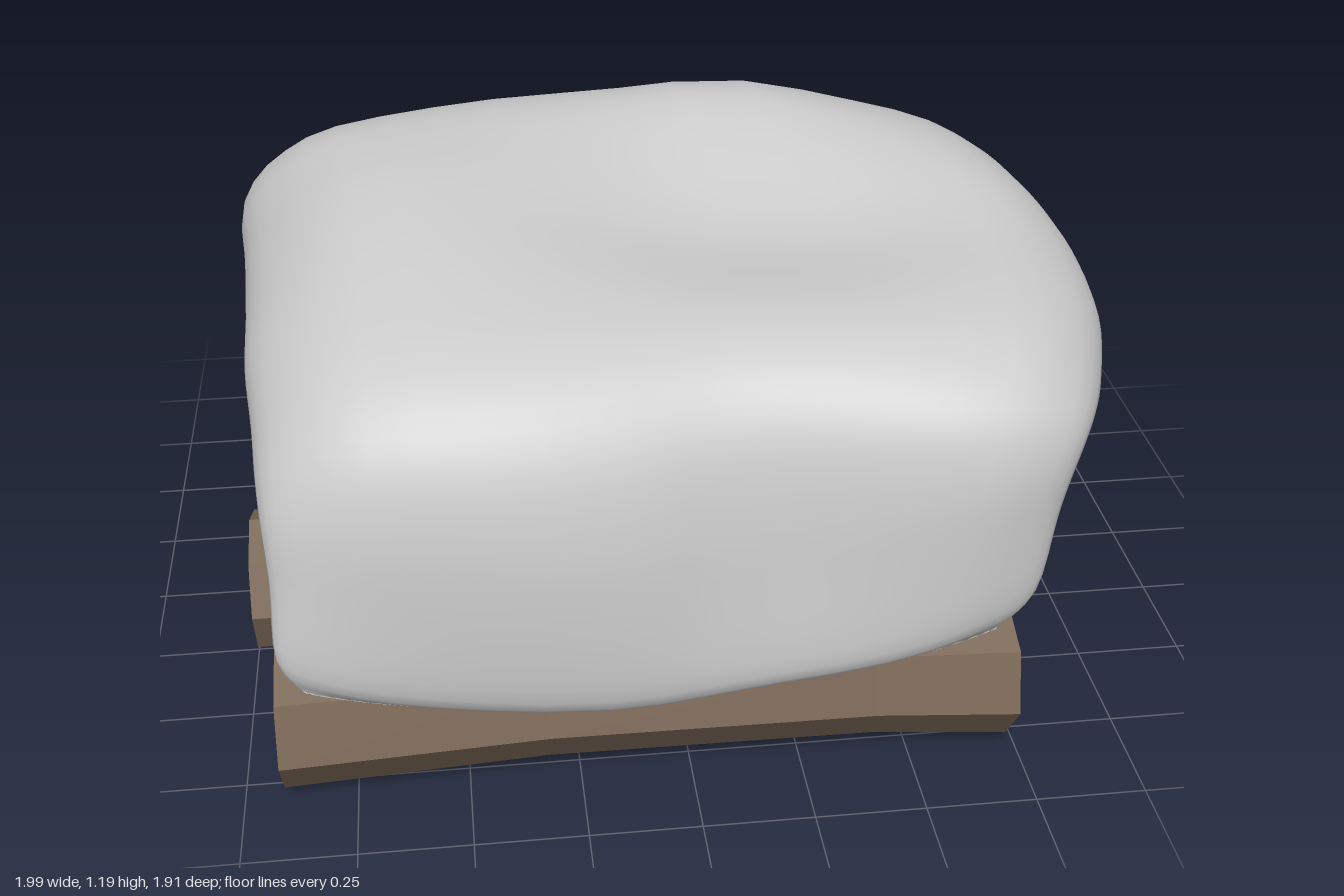
import * as THREE from 'three';

const bark = new THREE.MeshStandardMaterial({ color: 0x7a6756, flatShading: true });
const wood = new THREE.MeshStandardMaterial({ color: 0xa88856, flatShading: true });
const snow = new THREE.MeshStandardMaterial({ color: 0xcccccc });

let seed = 7;
const rnd = () => (seed = (seed * 16807) % 2147483647) / 2147483647;

function meshFrom(positions, index, material, name) {
  const g = new THREE.BufferGeometry();
  g.setAttribute('position', new THREE.Float32BufferAttribute(positions, 3));
  g.setIndex(index);
  g.computeVertexNormals();
  const m = new THREE.Mesh(g, material);
  m.name = name;
  return m;
}

// A faceted log along x, with a narrow split cut into its +x end.
function makeLog([z, y, r, x0, x1, notchDeg]) {
  const n = 7 + Math.floor(rnd() * 2), step = 2 * Math.PI / n;
  const notch = THREE.MathUtils.degToRad(notchDeg);
  const polygonRadius = (a) => {
    const k = (((a - notch) % step) + step) % step;
    return Math.cos(step / 2) / Math.cos(k - step / 2);
  };
  const angles = [notch, notch + 0.22];
  for (let i = 1; i < n; i++) angles.push(notch + i * step);
  angles.push(notch + 2 * Math.PI - 0.22);
  const count = angles.length;
  const bendY = (rnd() - 0.5) * 0.03, bendZ = (rnd() - 0.5) * 0.03;
  const rings = [[x0, 1, 0], [x0 * 0.35, 0.92, 1], [x1 - 0.32, 0.93, 0.8], [x1, 1, 0]];
  const pos = [], barkIdx = [], woodIdx = [];
  rings.forEach(([x, s, bend], ri) => angles.forEach((a, i) => {
    const cut = ri === 3 && i === 0 ? 0.68 : 1;
    const rad = r * s * cut * polygonRadius(a);
    pos.push(x, y + bend * bendY + Math.sin(a) * rad, z + bend * bendZ + Math.cos(a) * rad);
  }));
  pos.push(x0, y, z, x1 - 0.008, y, z);
  const c0 = 4 * count, c1 = c0 + 1;
  for (let i = 0; i < count; i++) {
    const j = (i + 1) % count;
    for (let k = 0; k < 3; k++) {
      const a = k * count + i, b = k * count + j, c = b + count, d = a + count;
      const split = k === 2 && (i === 0 || j === 0);
      (split ? woodIdx : barkIdx).push(a, d, c, a, c, b);
    }
    woodIdx.push(c0, i, j, c1, 3 * count + j, 3 * count + i);
  }
  const log = new THREE.Group();
  log.name = 'log';
  log.add(meshFrom(pos, barkIdx, bark, 'bark'), meshFrom(pos, woodIdx, wood, 'cutWood'));
  return log;
}

// Smooth interpolation through rows of equal length.
function sampleRows(rows, t) {
  const f = t * (rows.length - 1), i = Math.min(Math.floor(f), rows.length - 2), w = f - i;
  const at = (k) => rows[Math.max(0, Math.min(rows.length - 1, k))];
  return rows[0].map((_, c) => {
    const [a, b, d, e] = [at(i - 1)[c], at(i)[c], at(i + 1)[c], at(i + 2)[c]];
    return b + 0.5 * w * (d - a + w * (2 * a - 5 * b + 4 * d - e + w * (3 * (b - d) + e - a)));
  });
}

const bump = (x, z, cx, cz, sx, sz) =>
  Math.exp(-(((x - cx) / sx) ** 2) - ((z - cz) / sz) ** 2);
const ramp = THREE.MathUtils.smoothstep;

// Snow mass draped from the front, over the top, to the back, and filling the pile's core.
function makeSnow() {
  // outer z, outer y, inner z, inner y, x min, x max
  const drape = [
    [0.895, 0.258, 0.87, 0.265, -0.84, 0.66], [0.945, 0.32, 0.83, 0.34, -0.89, 0.74],
    [0.95, 0.53, 0.78, 0.48, -0.89, 0.78], [0.93, 0.74, 0.72, 0.60, -0.90, 0.83],
    [0.87, 0.92, 0.62, 0.68, -0.91, 0.88], [0.74, 1.04, 0.50, 0.73, -0.92, 0.93],
    [0.50, 1.10, 0.35, 0.76, -0.94, 0.98], [0.20, 1.14, 0.15, 0.76, -0.95, 1.00],
    [-0.05, 1.17, -0.05, 0.74, -0.97, 0.99], [-0.30, 1.18, -0.25, 0.72, -1.00, 0.96],
    [-0.50, 1.13, -0.40, 0.68, -1.01, 0.95], [-0.64, 1.04, -0.52, 0.60, -1.01, 0.92],
    [-0.74, 0.90, -0.62, 0.53, -0.98, 0.88], [-0.83, 0.72, -0.70, 0.46, -0.94, 0.80],
    [-0.92, 0.55, -0.79, 0.40, -0.90, 0.72], [-0.945, 0.43, -0.85, 0.35, -0.88, 0.66],
    [-0.915, 0.35, -0.89, 0.34, -0.82, 0.60],
  ];
  // half of the section: share of the half width, of the thickness, of the core depth
  const half = [[0, 0, 1], [0.2, 0, 1], [0.38, 0, 1], [0.5, 0, 0.8], [0.62, 0, 0.32],
    [0.74, 0, 0.06], [0.86, 0.01, 0], [0.95, 0.1, 0], [1, 0.3, 0],
    [0.975, 0.54, 0], [0.88, 0.77, 0], [0.72, 0.94, 0], [0.4, 1, 0], [0, 1, 0]];
  const U = 64, V = 64, pos = [], idx = [];
  for (let i = 0; i <= U; i++) {
    const u = i / U;
    const [oz, oy, iz, iy, xa, xb] = sampleRows(drape, u);
    const coreWeight = ramp(u, 0.06, 0.2) * (1 - ramp(u, 0.8, 0.94));
    const backWeight = ramp(u, 0.45, 0.62);
    for (let j = 0; j < V; j++) {
      const right = j <= V / 2;
      const [s, t, depth] = sampleRows(half, right ? j / (V / 2) : 2 - j / (V / 2));
      const pinch = 1 - 0.16 * backWeight * (1 - t) ** 4;
      const x = (xa + xb) / 2 + (right ? s : -s) * pinch * (xb - xa) / 2;
      let z = iz + (oz - iz) * t, y = iy + (oy - iy) * t;
      // core reaching down between the logs
      const core = depth * coreWeight;
      const floorY = 0.31 - 0.24 * bump(x, iz, -0.1, -0.07, 0.35, 0.16);
      y += (floorY - y) * core;
      z -= 0.12 * iz * core;
      // hem hangs lowest near the middle
      y += 0.2 * (x + 0.15) ** 2 * (1 - ramp(u, 0.12, 0.32));
      y += 0.1 * x * x * ramp(u, 0.72, 0.88);
      // hollow on top, front-left mound and soft dents
      y += t * (-0.09 * bump(x, z, 0.25, 0.22, 0.45, 0.32) + 0.04 * bump(x, z, -0.6, 0.15, 0.3, 0.35)
        + 0.03 * bump(x, z, 0.22, -0.32, 0.25, 0.25) - 0.05 * bump(x, z, 0.75, -0.45, 0.3, 0.35));
      if (oz > 0.6) z -= 0.06 * t * bump(x, y, 0.13, 0.6, 0.25, 0.5);
      z += 0.07 * t * backWeight * bump(x, 0, -0.8, 0, 0.35, 1);
      z += 0.012 * t * Math.sin(5 * x + 4 * y);
      pos.push(x, y, z);
    }
  }
  for (let j = 0; j < V; j++) {
    const k = (j + 1) % V;
    for (let i = 0; i < U; i++) {
      const a = i * V + j, b = a + V, d = i * V + k, c = d + V;
      idx.push(a, b, c, a, c, d);
    }
  }
  // close the first and last rings with strips across them
  for (let j = 0; j < V / 2; j++) {
    const [a, b, c, d] = [j, j + 1, (V - j - 1) % V, (V - j) % V];
    const e = U * V;
    idx.push(a, b, c, a, c, d, e + a, e + c, e + b, e + a, e + d, e + c);
  }
  return meshFrom(pos, idx, snow, 'snowBlanket');
}

export function createModel() {
  const model = new THREE.Group();
  model.name = 'snowyLogPile';

  // z, y, radius, x start, x end, angle of the split
  const logs = [
    [0.72, 0.185, 0.17, -0.91, 0.73, 145], [0.40, 0.18, 0.165, -0.87, 0.77, -32],
    [0.08, 0.16, 0.15, -0.92, 0.75, 150], [-0.20, 0.20, 0.145, -0.85, 0.78, 20],
    [-0.47, 0.175, 0.15, -0.90, 0.80, 35], [-0.78, 0.185, 0.18, -0.82, 0.67, 5],
    [0.55, 0.43, 0.155, -0.95, 0.62, 225], [0.25, 0.38, 0.14, -0.86, 0.70, 150],
    [0.00, 0.42, 0.14, -0.90, 0.68, 20], [-0.28, 0.43, 0.135, -0.90, 0.70, 200],
    [-0.53, 0.42, 0.135, -0.85, 0.66, -30],
    [0.41, 0.635, 0.14, -0.85, 0.80, 215], [0.16, 0.61, 0.13, -0.80, 0.72, 10],
    [-0.13, 0.60, 0.15, -0.85, 0.79, 75], [-0.40, 0.61, 0.125, -0.80, 0.73, -20],
  ];
  const pile = new THREE.Group();
  pile.name = 'logPile';
  logs.forEach((l) => pile.add(makeLog(l)));
  model.add(pile, makeSnow());
  return model;
}
